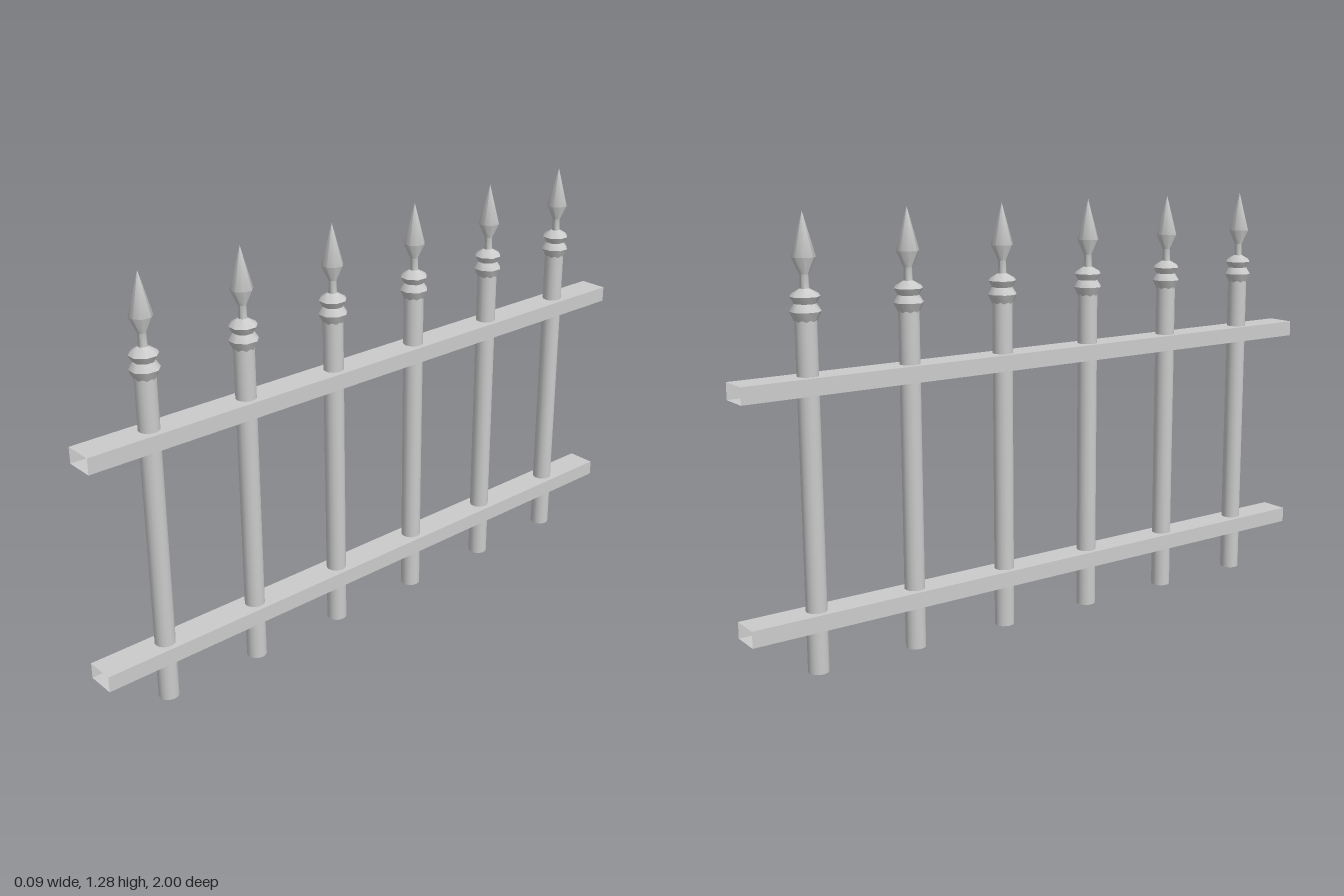
import * as THREE from 'three';
import { toCreasedNormals } from 'three/addons/utils/BufferGeometryUtils.js';

export function createModel() {
  const fence = new THREE.Group();
  fence.name = 'fence';
  const smooth = new THREE.MeshStandardMaterial({ color: 0xcccccc, side: THREE.DoubleSide });
  const flat = new THREE.MeshStandardMaterial({ color: 0xcccccc, side: THREE.DoubleSide, flatShading: true });

  function add(parent, name, geometry, material, y = 0) {
    const mesh = new THREE.Mesh(geometry, material);
    mesh.name = name;
    mesh.position.y = y;
    parent.add(mesh);
  }

  // Hollow rectangular rails, open at both ends
  const railGeometry = new THREE.CylinderGeometry(Math.SQRT1_2, Math.SQRT1_2, 1, 4, 1, true)
    .rotateY(Math.PI / 4)
    .rotateX(Math.PI / 2)
    .scale(0.09, 0.048, 2);
  add(fence, 'lowerRail', railGeometry, flat, 0.155);
  add(fence, 'upperRail', railGeometry, flat, 0.815);

  // Round tube for each picket
  const postGeometry = new THREE.CylinderGeometry(0.03, 0.03, 0.99, 16, 1, true);

  // Finial: two collar rings, a thin neck and a spear point
  const profile = [
    [0.03, 0.985], [0.043, 1.012], [0.03, 1.033], [0.041, 1.052],
    [0.036, 1.06], [0.013, 1.073], [0.012, 1.11], [0.033, 1.155], [0, 1.276],
  ].map(([r, y]) => new THREE.Vector2(r, y));
  const finialGeometry = toCreasedNormals(new THREE.LatheGeometry(profile, 8, Math.PI / 8), 0.85);

  for (let i = 0; i < 6; i++) {
    const picket = new THREE.Group();
    picket.name = 'picket' + (i + 1);
    picket.position.z = (i - 2.5) * 0.315;
    add(picket, 'post', postGeometry, smooth, 0.495);
    add(picket, 'finial', finialGeometry, smooth);
    fence.add(picket);
  }
  return fence;
}
